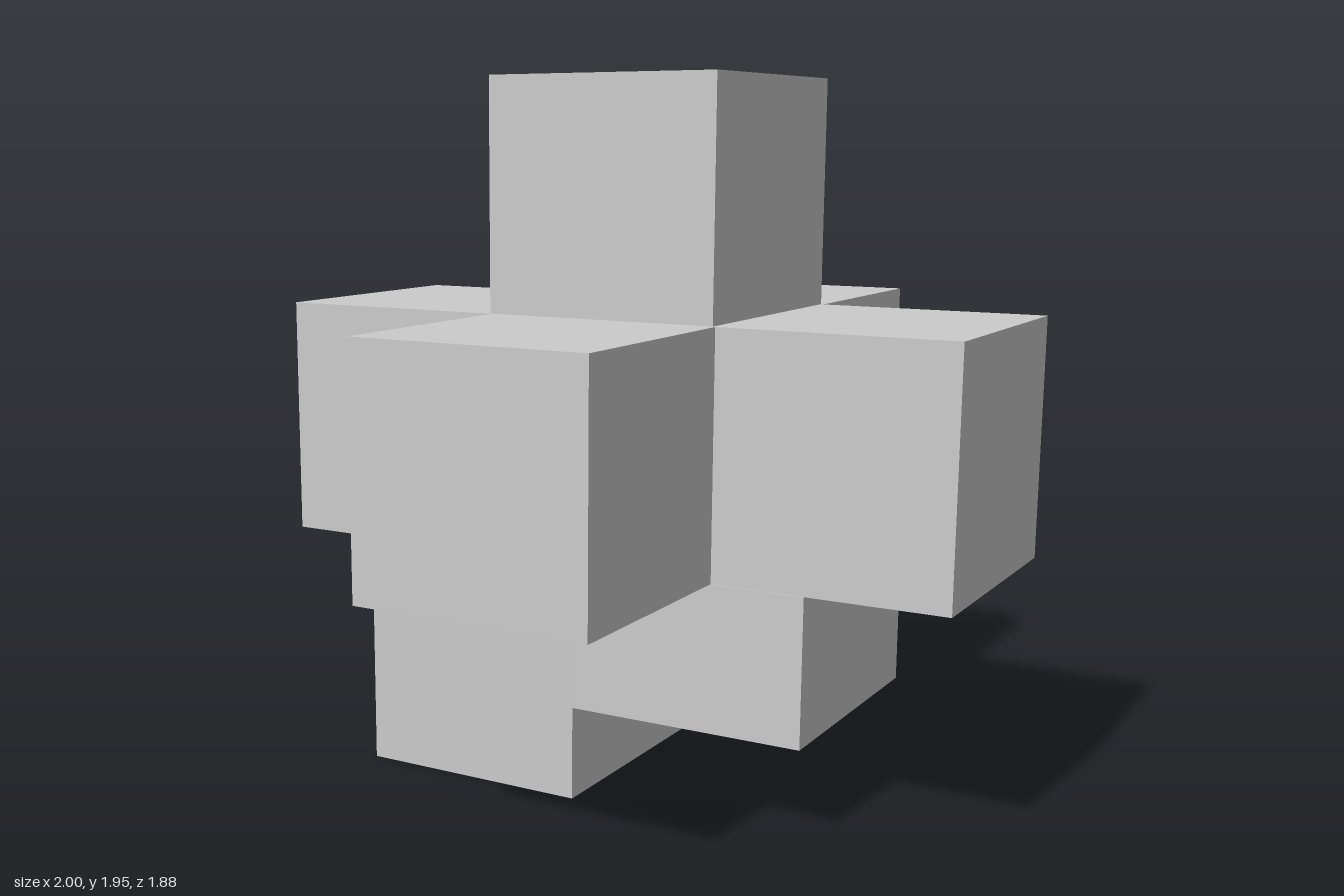
import * as THREE from 'three';

const material = new THREE.MeshStandardMaterial({ color: 0xcccccc, flatShading: true });

// Block between two corners, leaning very slightly: its top is pushed towards +x and +z
function block(name, [x0, x1], [y0, y1], [z0, z1]) {
  const geometry = new THREE.BoxGeometry(x1 - x0, y1 - y0, z1 - z0);
  const p = geometry.attributes.position;
  for (let i = 0; i < p.count; i++) {
    const y = p.getY(i);
    p.setX(i, p.getX(i) + y * 0.017);
    p.setZ(i, p.getZ(i) + y * 0.007);
  }
  geometry.computeVertexNormals();
  const mesh = new THREE.Mesh(geometry, material);
  mesh.name = name;
  mesh.position.set((x0 + x1) / 2, (y0 + y1) / 2, (z0 + z1) / 2);
  return mesh;
}

export function createModel() {
  const group = new THREE.Group();
  group.name = 'blockCross';
  const depth = [-0.335, 0.337];
  const middle = [0.66, 1.32];
  const column = [-0.318, 0.351];

  group.add(
    // Middle layer: a long bar with an arm to the front and one to the back
    block('crossBar', [-0.994, 0.994], middle, depth),
    block('frontArm', column, middle, [0.337, 0.941]),
    block('backArm', column, middle, [-0.937, -0.335]),
    // Cube on top
    block('topBlock', [-0.315, 0.353], [1.32, 1.945], depth),
    // Two lower blocks side by side, one taller than the other
    block('tallLowerBlock', [-0.743, -0.071], [0, 0.66], depth),
    block('shortLowerBlock', [-0.071, 0.603], [0.26, 0.66], depth),
  );
  return group;
}
